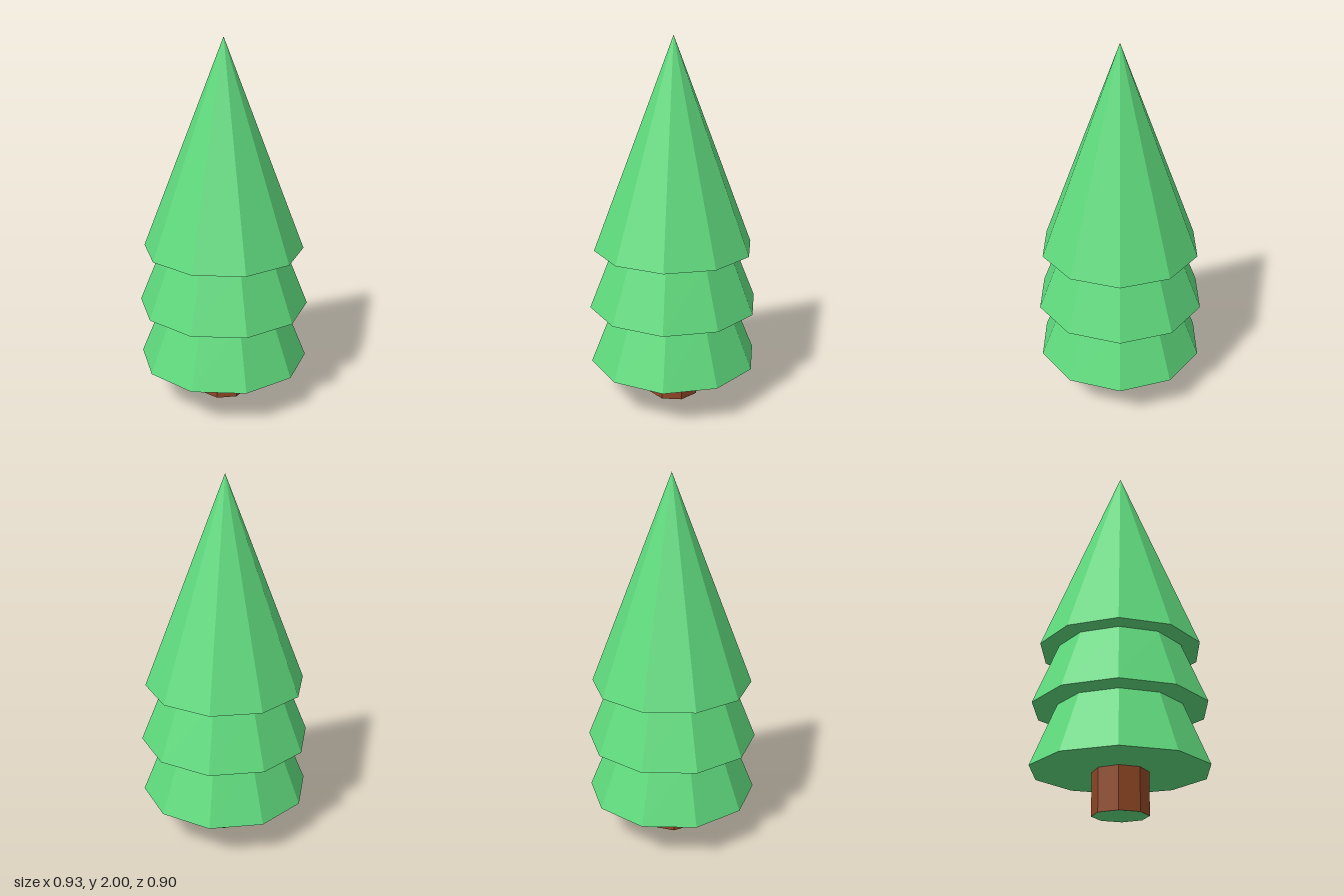
import * as THREE from 'three';

const leafGreen = new THREE.MeshStandardMaterial({ color: 0x5fda7d });
leafGreen.name = 'leafGreen';
const barkBrown = new THREE.MeshStandardMaterial({ color: 0x8f4725 });
barkBrown.name = 'barkBrown';

// Faceted surface: split vertices so every face has its own normal
function faceted(geometry) {
  const flat = geometry.toNonIndexed();
  flat.computeVertexNormals();
  return flat;
}

function addMesh(group, name, geometry, material, y) {
  const mesh = new THREE.Mesh(geometry, material);
  mesh.name = name;
  mesh.position.y = y;
  group.add(mesh);
}

export function createModel() {
  const tree = new THREE.Group();
  tree.name = 'pineTree';
  const twist = THREE.MathUtils.degToRad(20.5);

  // Foliage: two truncated ten-sided tiers under a pointed one
  const tiers = [
    { name: 'lowerFoliage', bottom: 0.22, top: 0.545, rBottom: 0.467, rTop: 0.335 },
    { name: 'middleFoliage', bottom: 0.545, top: 0.872, rBottom: 0.467, rTop: 0.335 },
    { name: 'topFoliage', bottom: 0.872, top: 2, rBottom: 0.437, rTop: 0 },
  ];
  for (const t of tiers) {
    const height = t.top - t.bottom;
    const cone = new THREE.CylinderGeometry(t.rTop, t.rBottom, height, 10, 1, false, twist);
    addMesh(tree, t.name, faceted(cone), leafGreen, t.bottom + height / 2);
  }

  // Trunk: eight-sided post, open at the ends
  const trunk = new THREE.CylinderGeometry(0.145, 0.145, 0.22, 8, 1, true);
  addMesh(tree, 'trunk', faceted(trunk), barkBrown, 0.11);

  // Green underside of the trunk
  const base = new THREE.CircleGeometry(0.145, 8).rotateX(Math.PI / 2);
  addMesh(tree, 'trunkBase', base, leafGreen, 0);

  return tree;
}
